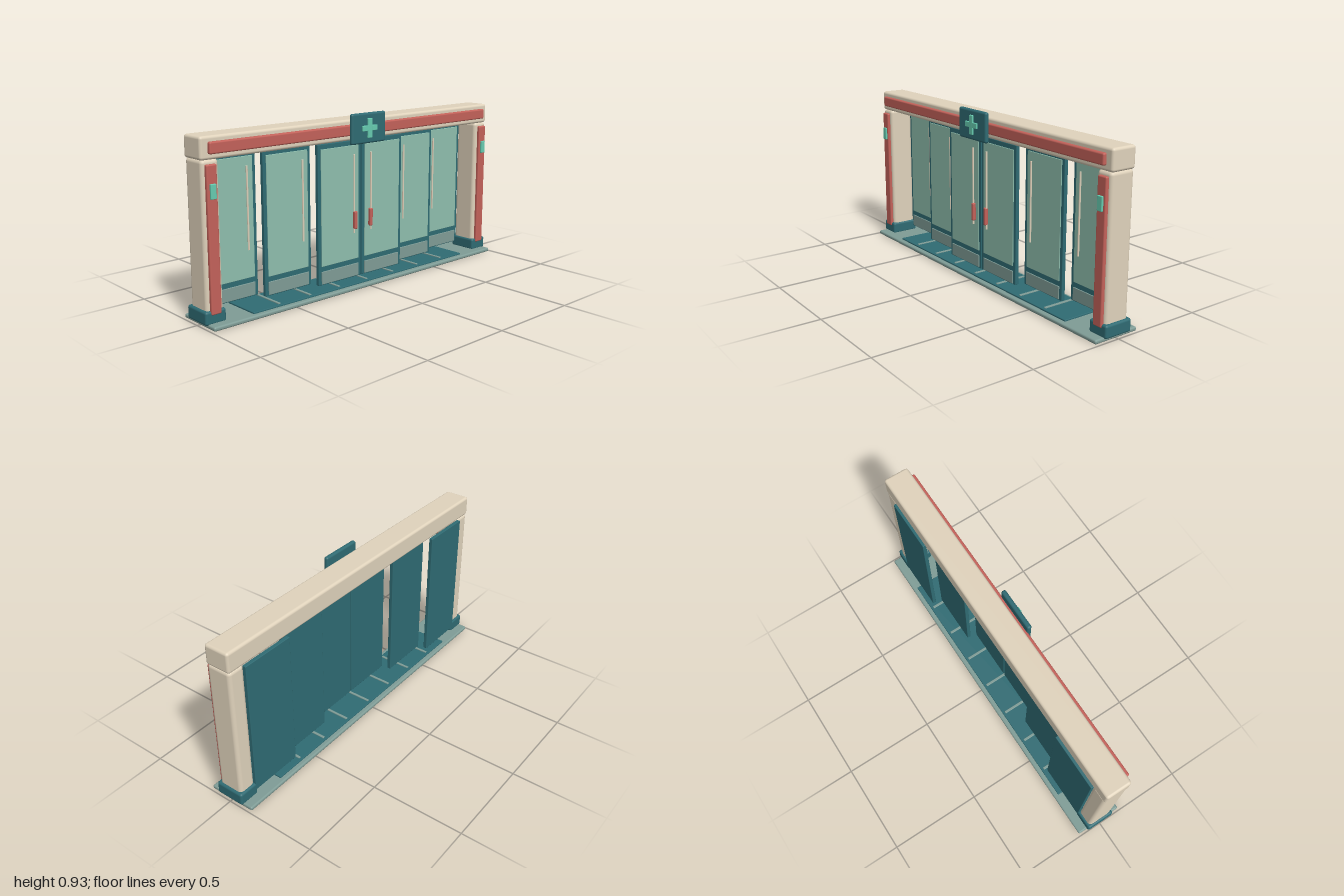
import * as THREE from 'three';
import { RoundedBoxGeometry } from 'three/addons/geometries/RoundedBoxGeometry.js';

const mat = (color) => new THREE.MeshStandardMaterial({ color });
const cream = mat(0xe0d3bc), red = mat(0xc4625a), teal = mat(0x2f6b73), glass = mat(0x8fbfae);
const mint = mat(0x66ccb0), stone = mat(0x7f9c96);

// Rounded block given by its extents on each axis
function block(parent, name, material, [x0, x1], [y0, y1], [z0, z1], r = 0.004) {
  const w = x1 - x0, h = y1 - y0, d = z1 - z0;
  const radius = Math.min(r, w * 0.45, h * 0.45, d * 0.45);
  const mesh = new THREE.Mesh(new RoundedBoxGeometry(w, h, d, 3, radius), material);
  mesh.position.set((x0 + x1) / 2, (y0 + y1) / 2, (z0 + z1) / 2);
  mesh.name = name;
  parent.add(mesh);
  return mesh;
}

// Sliding door panel; side is the sign of x, index counts outward from the middle
function makeDoor(side, index) {
  const door = new THREE.Group();
  door.name = 'slidingDoor';
  const f = 0.01; // front face of the slab
  block(door, 'doorSlab', teal, [-0.147, 0.147], [0.045, 0.782], [-0.011, f], 0.003);
  block(door, 'glassPane', glass, [-0.128, 0.128], [0.145, 0.757], [f - 0.004, f + 0.004], 0.002);
  block(door, 'kickPlate', stone, [-0.128, 0.128], [0.05, 0.118], [f - 0.004, f + 0.005], 0.002);

  // Pull bar near the inner edge
  const hx = -side * 0.09;
  const bar = new THREE.Mesh(new THREE.CylinderGeometry(0.005, 0.005, 0.42, 12), cream);
  bar.position.set(hx, 0.5, f + 0.011);
  bar.name = 'pullBar';
  door.add(bar);
  if (index === 0) {
    const gx = -side * 0.095;
    block(door, 'handleGrip', red, [gx - 0.01, gx + 0.01], [0.312, 0.408], [f + 0.003, f + 0.024], 0.006);
  }
  door.position.set(side * (0.15 + 0.3 * index), 0, 0.038 - 0.054 * index);
  return door;
}

export function createModel() {
  const model = new THREE.Group();
  model.name = 'slidingEntrance';

  // Floor slab, mat and floor markers
  block(model, 'floorSlab', stone, [-0.987, 0.987], [0, 0.022], [-0.13, 0.13], 0.009);
  block(model, 'floorMat', teal, [-0.75, 0.75], [0.016, 0.03], [-0.105, 0.105], 0.003);
  for (let i = -3; i <= 3; i++) {
    const x = i * 0.195;
    block(model, 'floorMarker', stone, [x - 0.007, x + 0.007], [0.026, 0.035], [-0.092, 0.092], 0.002);
  }

  // Posts with boots, trim strips and sensors
  for (const s of [-1, 1]) {
    const span = (a, b) => (s > 0 ? [a, b] : [-b, -a]);
    block(model, 'post', cream, span(0.893, 0.987), [0.02, 0.79], [-0.068, 0.07], 0.02);
    block(model, 'postBoot', teal, span(0.886, 1.0), [0.015, 0.083], [-0.08, 0.08], 0.012);
    block(model, 'postTrim', red, span(0.914, 0.97), [0.063, 0.768], [0.064, 0.086], 0.007);
    block(model, 'sensor', mint, span(0.926, 0.957), [0.61, 0.68], [0.08, 0.096], 0.003);
    for (let i = 0; i < 3; i++) model.add(makeDoor(s, i));
  }

  // Header beam with its trim
  block(model, 'headerBeam', cream, [-0.99, 0.99], [0.786, 0.895], [-0.07, 0.07], 0.014);
  block(model, 'headerTrim', red, [-0.95, 0.95], [0.813, 0.869], [0.06, 0.088], 0.008);

  // Sign board and cross
  block(model, 'signBoard', teal, [-0.119, 0.119], [0.767, 0.926], [0.083, 0.108], 0.012);
  block(model, 'crossUpright', mint, [-0.0145, 0.0145], [0.796, 0.898], [0.1, 0.117], 0.003);
  block(model, 'crossBar', mint, [-0.051, 0.051], [0.8325, 0.8615], [0.1, 0.1165], 0.003);

  return model;
}
